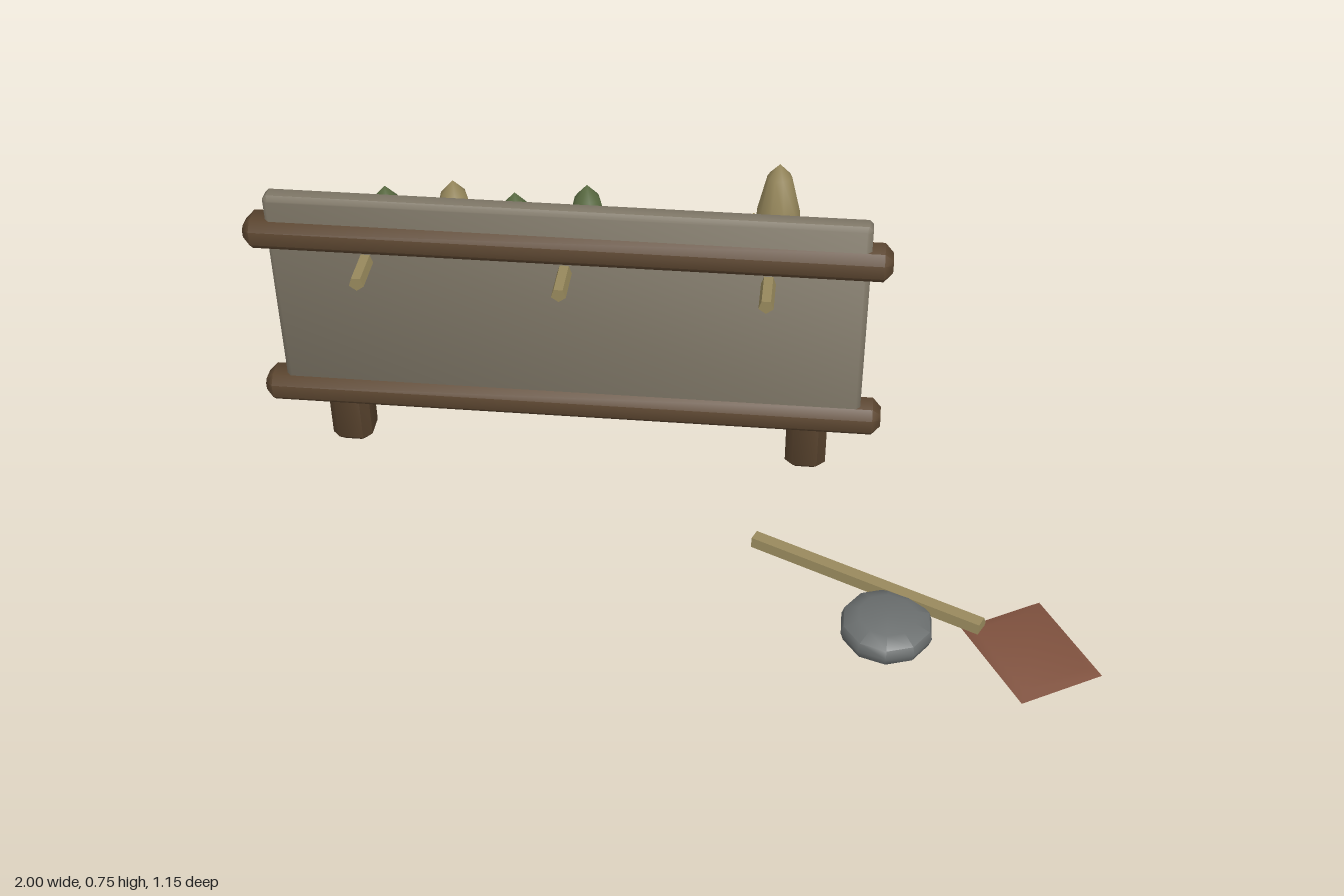
import * as THREE from 'three';
import { toCreasedNormals } from 'three/addons/utils/BufferGeometryUtils.js';

const mat = (name, color) => {
  const m = new THREE.MeshStandardMaterial({ color });
  m.name = name;
  return m;
};

// Beam along z with chamfered long edges and chamfered ends, centred on the origin
function beamGeometry(width, height, length, c) {
  const w = width / 2, h = height / 2;
  const shape = new THREE.Shape([
    [-w + c, -h], [w - c, -h], [w, -h + c], [w, h - c],
    [w - c, h], [-w + c, h], [-w, h - c], [-w, -h + c],
  ].map(([x, y]) => new THREE.Vector2(x, y)));
  const geo = new THREE.ExtrudeGeometry(shape, {
    depth: length - 2 * c, bevelEnabled: true, bevelSegments: 1,
    bevelThickness: c, bevelSize: c, bevelOffset: -c,
  });
  geo.translate(0, 0, -length / 2 + c);
  return geo;
}

const lathe = (points, sides, start = 0) => new THREE.LatheGeometry(
  points.map(([r, y]) => new THREE.Vector2(r, y)), sides, start);

export function createModel() {
  const group = new THREE.Group();
  const wood = mat('dark wood', 0x5c4630);
  const hide = mat('grey hide', 0x807868);
  const tan = mat('dry tan', 0x97885c);
  const green = mat('leaf green', 0x5a6b42);
  const stoneGrey = mat('stone grey', 0x6b6f6f);
  const rust = mat('rust brown', 0x80523f);

  const add = (name, geo, material, x, y, z) => {
    const mesh = new THREE.Mesh(geo, material);
    mesh.name = name;
    mesh.position.set(x, y, z);
    group.add(mesh);
    return mesh;
  };

  // Two horizontal rails
  const railGeo = toCreasedNormals(beamGeometry(0.09, 0.074, 1.5, 0.02).rotateY(Math.PI / 2), 0.9);
  add('topRail', railGeo, wood, -0.25, 0.653, -0.18);
  add('bottomRail', railGeo, wood, -0.25, 0.211, -0.18);

  // Two posts behind the rails
  const postGeo = toCreasedNormals(beamGeometry(0.1, 0.1, 0.625, 0.02).rotateX(Math.PI / 2), 0.9);
  add('rightPost', postGeo, wood, -0.82, 0.3125, -0.26);
  add('leftPost', postGeo, wood, 0.325, 0.3125, -0.26);

  // Panel held between the rails
  const panelGeo = toCreasedNormals(beamGeometry(1.395, 0.565, 0.05, 0.01), 0.9);
  add('panel', panelGeo, hide, -0.2475, 0.4725, -0.18);

  // Pegs pointing forward, one edge down
  const pegGeo = toCreasedNormals(
    new THREE.CylinderGeometry(0.018, 0.018, 0.14, 5).rotateX(Math.PI / 2), 0.5);
  for (const x of [-0.715, -0.25, 0.22]) add('peg', pegGeo, tan, x, 0.599, -0.125);

  // Spindle-shaped bundles behind the panel
  const bundleGeo = new THREE.SphereGeometry(1, 10, 6).scale(0.06, 0.253, 0.06);
  for (const [x, z, m] of [
    [-0.7, -0.33, green], [-0.545, -0.37, tan], [-0.39, -0.33, green],
    [-0.225, -0.38, green], [0.175, -0.295, tan], [0.225, -0.52, tan],
  ]) add('bundle', bundleGeo, m, x, 0.442, z);

  // Tool handle lying on the ground
  const a = new THREE.Vector3(0.22, 0.037, 0.095), b = new THREE.Vector3(0.74, 0.059, 0.36);
  const dir = b.clone().sub(a);
  const handleGeo = toCreasedNormals(new THREE.CylinderGeometry(0.021, 0.021, dir.length(), 5), 0.5);
  const mid = a.clone().add(b).multiplyScalar(0.5);
  add('toolHandle', handleGeo, tan, mid.x, mid.y, mid.z)
    .quaternion.setFromUnitVectors(new THREE.Vector3(0, 1, 0), dir.normalize());

  // Flat blade with thin edges
  const s = Math.SQRT1_2;
  const bladeGeo = lathe(
    [[0, -0.011], [s * 0.8, -0.01], [s, 0], [s * 0.8, 0.01], [0, 0.011]], 4, Math.PI / 4);
  bladeGeo.scale(0.204, 1, 0.25);
  add('toolBlade', toCreasedNormals(bladeGeo, 0.8), rust, 0.847, 0.041, 0.41).rotation.y = 0.515;

  // Round flat stone
  const stoneGeo = lathe([
    [0, 0.004], [0.066, 0.006], [0.1, 0.02], [0.106, 0.04],
    [0.1, 0.06], [0.066, 0.074], [0, 0.076],
  ], 10);
  add('stone', toCreasedNormals(stoneGeo, 0.9), stoneGrey, 0.53, 0, 0.36);

  return group;
}
